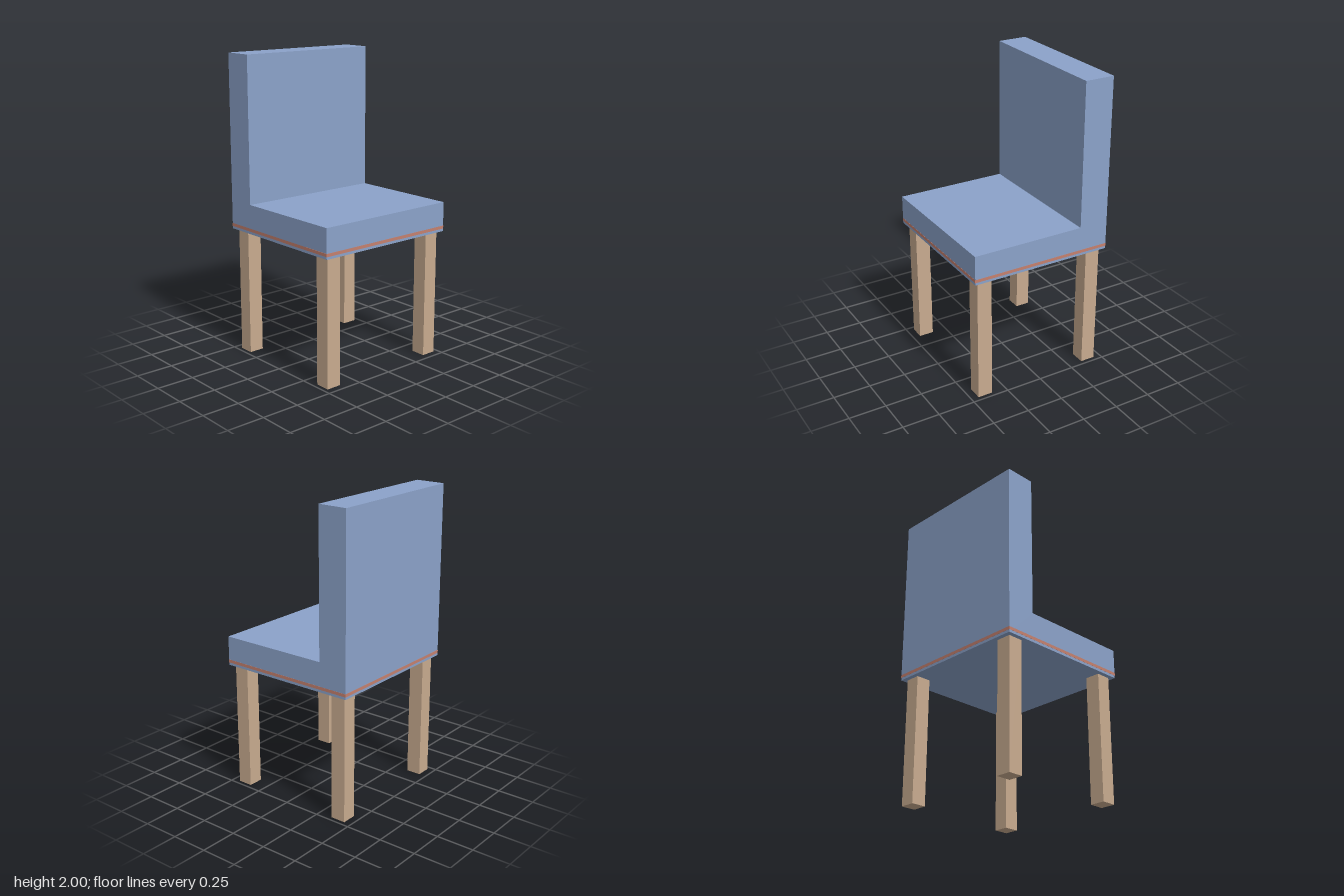
import * as THREE from 'three';

const fabric = new THREE.MeshStandardMaterial({ name: 'blue fabric', color: 0x8ba2c9 });
const wood = new THREE.MeshStandardMaterial({ name: 'light wood', color: 0xc8ab8f });
const trim = new THREE.MeshStandardMaterial({ name: 'red trim', color: 0xc4806f });

const WIDTH = 1, FRONT = 0.48, SEAT_BOTTOM = 0.845, SEAT_TOP = 1.04, LEG = 0.1;

export function createModel() {
  const group = new THREE.Group();
  group.name = 'chair';
  const add = (name, geometry, material, x = 0, y = 0, z = 0) => {
    const mesh = new THREE.Mesh(geometry, material);
    mesh.name = name;
    mesh.position.set(x, y, z);
    group.add(mesh);
  };

  // L-shaped seat and backrest: side profile (front at negative x) swept across the width
  const profile = new THREE.Shape([
    [-FRONT, SEAT_BOTTOM], [FRONT, SEAT_BOTTOM], [FRONT, 2],
    [0.28, 2], [0.28, SEAT_TOP], [-FRONT, SEAT_TOP],
  ].map(([x, y]) => new THREE.Vector2(x, y)));
  const body = new THREE.ExtrudeGeometry(profile, { depth: WIDTH, bevelEnabled: false });
  body.translate(0, 0, -WIDTH / 2).rotateY(Math.PI / 2);
  add('seatAndBackrest', body, fabric);

  // Thin trim band around the lower edge of the seat
  const band = 0.001;
  add('trimBand', new THREE.BoxGeometry(WIDTH + 2 * band, 0.02, 2 * (FRONT + band)), trim, 0, 0.872, 0);

  // Four square legs
  const legGeometry = new THREE.BoxGeometry(LEG, SEAT_BOTTOM, LEG);
  for (const [side, x] of [['Left', 0.42], ['Right', -0.42]]) {
    for (const [end, z] of [['front', 0.4], ['back', -0.4]]) {
      add(`${end}${side}Leg`, legGeometry, wood, x, SEAT_BOTTOM / 2, z);
    }
  }
  return group;
}
